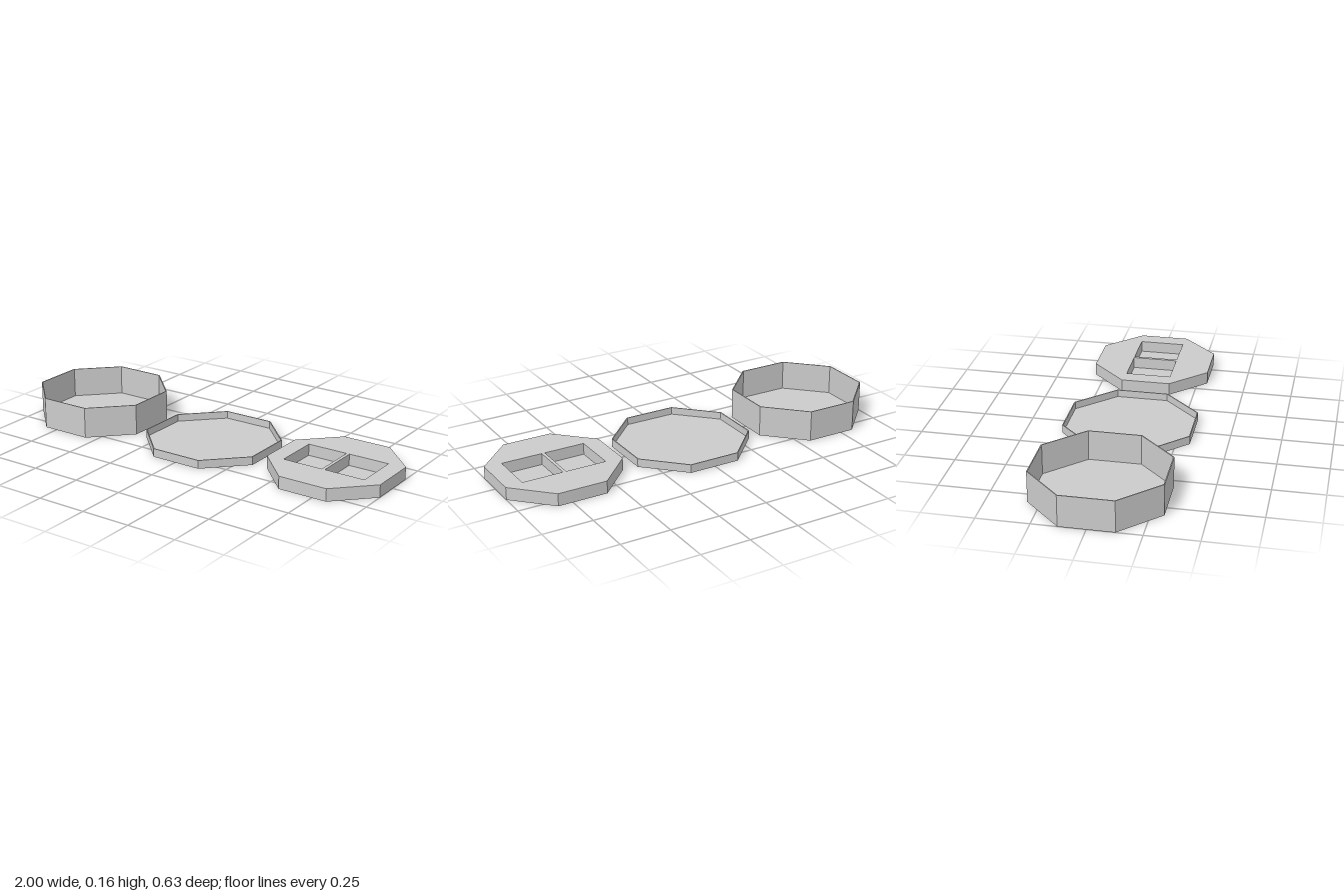
import * as THREE from 'three';

const material = new THREE.MeshStandardMaterial({ color: 0xcccccc, flatShading: true });
const WALL = 0.005; // sheet thickness of walls and floors
const corner = (apothem) => apothem / Math.cos(Math.PI / 8);

function part(name, geometry, x = 0, y = 0) {
  const mesh = new THREE.Mesh(geometry, material);
  mesh.name = name;
  mesh.position.set(x, y, 0);
  return mesh;
}

// Open eight-sided tray with thin walls and a thin floor
function tray(name, apothem, height, x) {
  const outer = corner(apothem), inner = corner(apothem - WALL);
  const profile = [
    [0, 0], [outer, 0], [outer, height], [inner, height], [inner, WALL], [0, WALL],
  ].map(([r, y]) => new THREE.Vector2(r, y));
  return part(name, new THREE.LatheGeometry(profile, 8, Math.PI / 8), x);
}

// Eight-sided block with two rectangular pockets side by side
function pocketInsert(apothem, height, x) {
  const group = new THREE.Group();
  group.name = 'insert';
  group.position.x = x;

  const outline = new THREE.Shape();
  const r = corner(apothem);
  for (let i = 0; i < 8; i++) {
    const a = (i + 0.5) * Math.PI / 4;
    outline[i ? 'lineTo' : 'moveTo'](r * Math.cos(a), r * Math.sin(a));
  }
  outline.closePath();

  const w = 0.207, d = 0.23, offset = 0.1115;
  for (const side of [-1, 1]) {
    const cx = side * offset;
    const hole = new THREE.Path();
    hole.moveTo(cx - w / 2, -d / 2);
    hole.lineTo(cx - w / 2, d / 2);
    hole.lineTo(cx + w / 2, d / 2);
    hole.lineTo(cx + w / 2, -d / 2);
    hole.closePath();
    outline.holes.push(hole);
    // Thin floor closing the pocket
    group.add(part(side < 0 ? 'rightPocketFloor' : 'leftPocketFloor',
      new THREE.BoxGeometry(w, WALL, d), cx, WALL / 2));
  }

  const block = new THREE.ExtrudeGeometry(outline, { depth: height, bevelEnabled: false });
  block.rotateX(-Math.PI / 2);
  group.add(part('insertBlock', block));
  return group;
}

export function createModel() {
  const model = new THREE.Group();
  model.name = 'octagonalBoxSet';
  model.add(
    tray('boxBase', 0.311, 0.156, -0.689),
    tray('lid', 0.317, 0.042, 0.004),
    pocketInsert(0.301, 0.063, 0.699),
  );
  return model;
}
